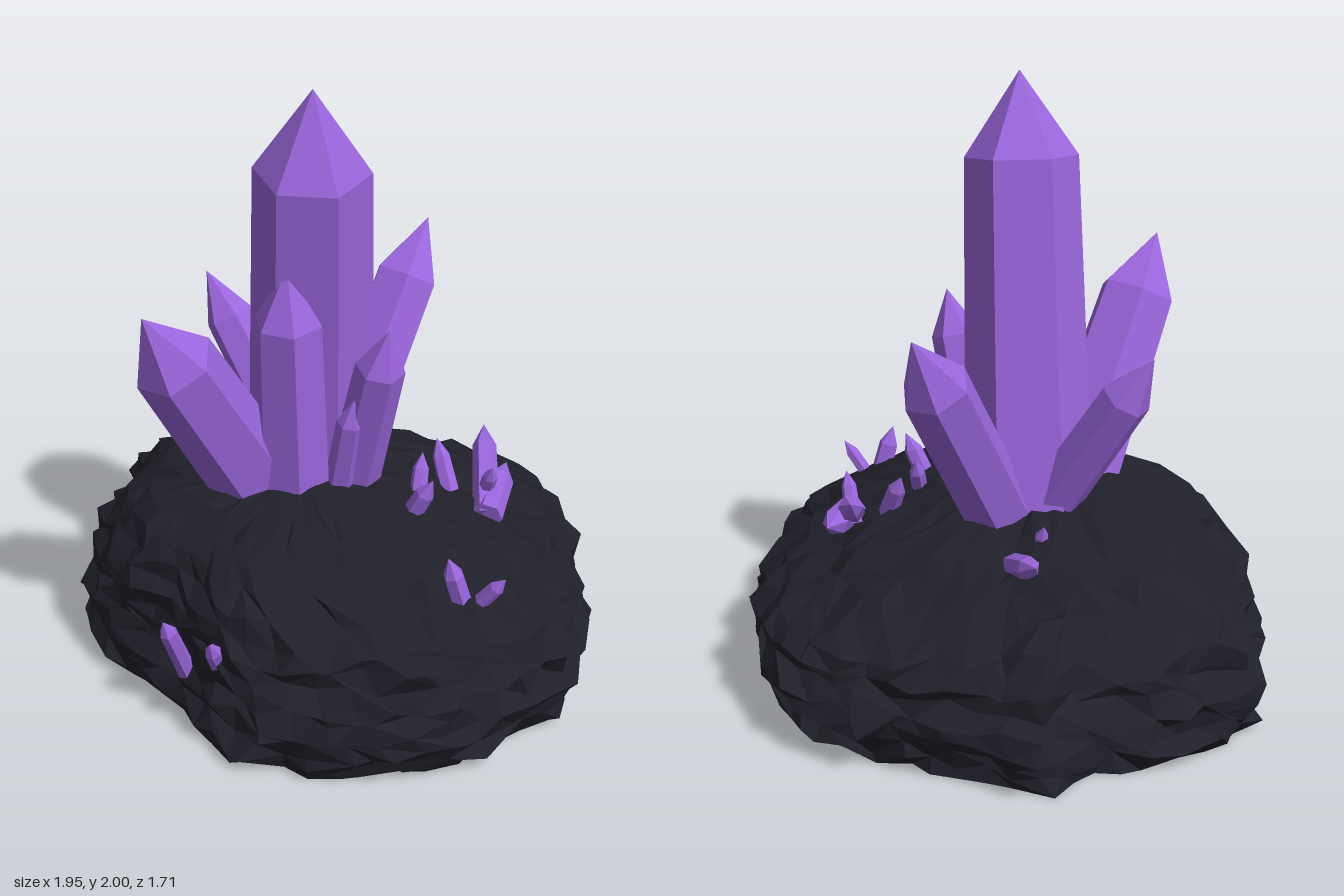
import * as THREE from 'three';

const crystalPurple = new THREE.MeshStandardMaterial({ color: 0x9a66dc, flatShading: true });
crystalPurple.name = 'crystalPurple';
const rockBlack = new THREE.MeshStandardMaterial({ color: 0x20202a, flatShading: true });
rockBlack.name = 'rockBlack';

// Small seeded random source, returns -1..1
function makeRandom(seed) {
  return () => {
    seed = (seed * 1664525 + 1013904223) >>> 0;
    return seed / 2147483648 - 1;
  };
}

// Widest outline of the rock, x and z, running from +x towards +z
const OUTLINE = [
  [0.97, 0.07], [0.9, 0.31], [0.78, 0.55], [0.6, 0.7], [0.39, 0.81], [0.17, 0.85],
  [-0.03, 0.77], [-0.2, 0.71], [-0.44, 0.7], [-0.65, 0.57], [-0.83, 0.39], [-0.86, 0.18],
  [-0.97, -0.04], [-0.92, -0.21], [-0.78, -0.44], [-0.6, -0.58], [-0.56, -0.75], [-0.31, -0.76],
  [-0.13, -0.81], [0.2, -0.86], [0.42, -0.76], [0.6, -0.61], [0.77, -0.39], [0.88, -0.13],
];

// Rows of the rock: height, scale of the outline, shift in x, shift in z
const ROWS = [
  [0, 0.91, -0.03, 0.02], [0.05, 0.94, -0.02, 0.02], [0.1, 0.93, -0.01, 0.01], [0.15, 0.98, 0, 0],
  [0.2, 0.98, 0.01, 0], [0.25, 0.93, 0.01, 0.01], [0.3, 0.94, 0.02, 0.01], [0.35, 0.91, 0.01, 0.03],
  [0.4, 0.86, 0.01, 0.07], [0.45, 0.8, 0, 0.1], [0.5, 0.72, -0.02, 0.12], [0.55, 0.64, -0.05, 0.14],
  [0.6, 0.53, -0.07, 0.16], [0.64, 0.42, -0.06, 0.17], [0.67, 0.28, -0.05, 0.18], [0.69, 0.13, -0.03, 0.18],
];

function buildRock() {
  const cols = 56;
  const random = makeRandom(17);
  const curve = new THREE.CatmullRomCurve3(OUTLINE.map(([x, z]) => new THREE.Vector3(x, 0, z)), true);
  const ring = curve.getSpacedPoints(cols);

  // Jagged rings, rougher on the sides than on the crown
  const grid = ROWS.map(([y, s, dx, dz], r) => Array.from({ length: cols }, (_, c) => {
    const p = ring[c], q = ring[(c + 1) % cols];
    const slide = random() * 0.35;
    const k = s * (1 + random() * 0.04);
    const lift = r === 0 ? 0 : random() * 0.025 * s;
    return new THREE.Vector3(
      (p.x + (q.x - p.x) * slide) * k + dx, y + lift, (p.z + (q.z - p.z) * slide) * k + dz);
  }));

  const positions = [];
  const tri = (...corners) => corners.forEach((v) => positions.push(v.x, v.y, v.z));
  const bottom = new THREE.Vector3(0, 0, 0);
  const crown = new THREE.Vector3(-0.02, 0.7, 0.18);
  for (let c = 0; c < cols; c++) {
    const n = (c + 1) % cols;
    for (let r = 0; r < ROWS.length - 1; r++) {
      const a = grid[r][c], b = grid[r][n], up = grid[r + 1][c], upB = grid[r + 1][n];
      if (random() > 0) {
        tri(a, up, b);
        tri(b, up, upB);
      } else {
        tri(a, up, upB);
        tri(a, upB, b);
      }
    }
    tri(bottom, grid[0][c], grid[0][n]);
    const top = grid[ROWS.length - 1];
    tri(top[c], crown, top[n]);
  }
  const geometry = new THREE.BufferGeometry();
  geometry.setAttribute('position', new THREE.Float32BufferAttribute(positions, 3));
  geometry.computeVertexNormals();
  const rock = new THREE.Mesh(geometry, rockBlack);
  rock.name = 'rockBase';
  return rock;
}

// Six-sided crystal from base to tip, with a pointed cap of the given length
function buildCrystal(name, base, tip, baseRadius, shoulderRadius, cap, spin = 0) {
  const start = new THREE.Vector3(...base);
  const axis = new THREE.Vector3(...tip).sub(start);
  const length = axis.length();
  const profile = [
    new THREE.Vector2(0, 0), new THREE.Vector2(baseRadius, 0),
    new THREE.Vector2(shoulderRadius, length - cap), new THREE.Vector2(0, length),
  ];
  const geometry = new THREE.LatheGeometry(profile, 6).toNonIndexed();
  geometry.computeVertexNormals();
  geometry.rotateY(spin);
  const mesh = new THREE.Mesh(geometry, crystalPurple);
  mesh.name = name;
  mesh.position.copy(start);
  mesh.quaternion.setFromUnitVectors(new THREE.Vector3(0, 1, 0), axis.normalize());
  return mesh;
}

const HALF = Math.PI / 6;

// Name, base, tip, base radius, shoulder radius, cap length, spin
const LARGE = [
  ['mainCrystal', [-0.1, 0.55, 0.015], [0.03, 2, 0.17], 0.212, 0.183, 0.27, 0],
  ['frontCrystal', [-0.15, 0.55, 0.185], [-0.23, 1.39, 0.68], 0.152, 0.132, 0.22, HALF],
  ['rightCrystal', [-0.14, 0.55, -0.02], [-0.55, 1.19, -0.02], 0.092, 0.082, 0.17, 0],
  ['backCrystal', [-0.07, 0.55, -0.085], [-0.02, 1.32, -0.57], 0.115, 0.112, 0.21, HALF],
  ['middleCrystal', [-0.035, 0.55, 0.2], [0, 1.46, 0.27], 0.125, 0.11, 0.19, Math.PI / 4],
  ['leftCrystal', [0.08, 0.55, 0.06], [0.275, 1.26, 0.12], 0.09, 0.08, 0.15, 0],
  ['slimCrystal', [0.08, 0.55, 0.13], [0.18, 1.01, 0.17], 0.055, 0.045, 0.09, 0],
];

// Base, tip and radius of the little shards
const SHARDS = [
  [[0.48, 0.51, -0.17], [0.31, 0.68, -0.43], 0.045],
  [[0.49, 0.52, -0.16], [0.41, 0.57, -0.42], 0.05],
  [[0.42, 0.52, -0.25], [0.48, 0.68, -0.2], 0.028],
  [[0.32, 0.56, 0.07], [0.41, 0.74, 0.06], 0.035],
  [[0.3, 0.56, -0.02], [0.27, 0.72, -0.1], 0.03],
  [[0.33, 0.55, -0.18], [0.25, 0.71, -0.22], 0.033],
  [[0.65, 0.43, 0.24], [0.61, 0.65, 0.29], 0.037],
  [[0.66, 0.44, 0.23], [0.77, 0.59, 0.21], 0.027],
  [[-0.1, 0.16, 0.7], [-0.1, 0.43, 0.81], 0.032],
  [[0.06, 0.25, 0.72], [0.1, 0.44, 0.83], 0.03],
  [[-0.22, 0.54, -0.31], [-0.38, 0.63, -0.46], 0.04],
  [[-0.25, 0.55, -0.2], [-0.29, 0.66, -0.24], 0.025],
];

export function createModel() {
  const model = new THREE.Group();
  model.name = 'crystalCluster';
  model.add(buildRock());

  const crystals = new THREE.Group();
  crystals.name = 'crystals';
  LARGE.forEach((spec) => crystals.add(buildCrystal(...spec)));
  model.add(crystals);

  const shards = new THREE.Group();
  shards.name = 'shards';
  SHARDS.forEach(([base, tip, radius], i) => {
    shards.add(buildCrystal(`shard${i + 1}`, base, tip, radius, radius * 0.9, radius * 1.8, i));
  });
  model.add(shards);
  return model;
}
